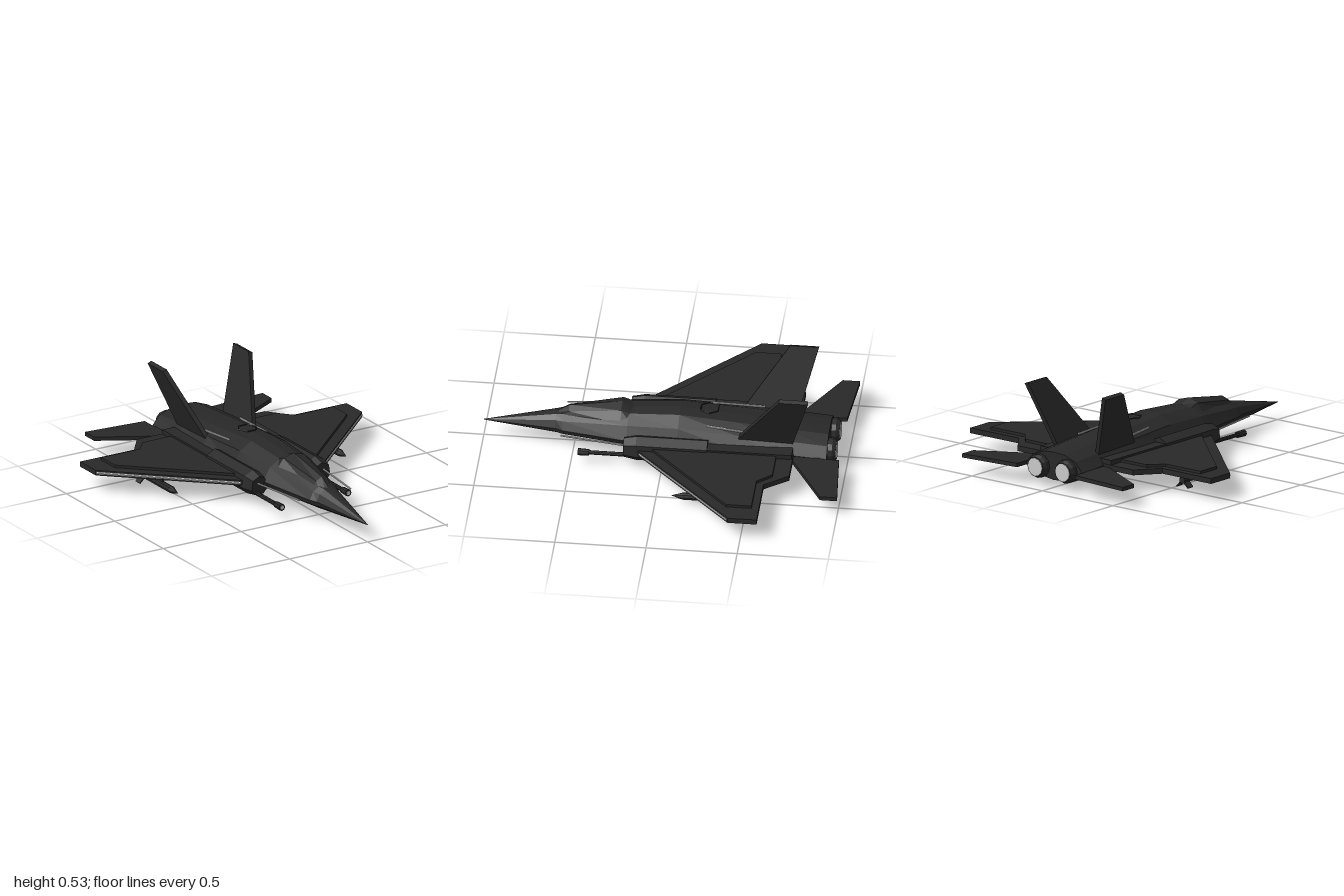
import * as THREE from 'three';

const mat = (name, color) => {
  const m = new THREE.MeshStandardMaterial({ color, flatShading: true });
  m.name = name;
  return m;
};

// Skin closed rings of [x, y, z], ordered nose to tail, clockwise seen from the front
function loft(rings) {
  const pos = [];
  const tri = (a, b, c) => pos.push(...a, ...b, ...c);
  const n = rings[0].length;
  for (let i = 0; i < rings.length - 1; i++) {
    for (let j = 0; j < n; j++) {
      const k = (j + 1) % n, p = rings[i], q = rings[i + 1];
      tri(p[j], p[k], q[k]);
      tri(p[j], q[k], q[j]);
    }
  }
  const first = rings[0], last = rings[rings.length - 1];
  for (let j = 1; j < n - 1; j++) {
    tri(last[0], last[j], last[j + 1]);
    tri(first[0], first[j + 1], first[j]);
  }
  const g = new THREE.BufferGeometry();
  g.setAttribute('position', new THREE.Float32BufferAttribute(pos, 3));
  g.computeVertexNormals();
  return g;
}

const shapeOf = (pts) => new THREE.Shape(pts.map(([x, y]) => new THREE.Vector2(x, y)));
const extrude = (pts, depth) => new THREE.ExtrudeGeometry(shapeOf(pts), { depth, bevelEnabled: false });

// Horizontal slab from an [x, z] outline
const slab = (pts, s, y, h) =>
  extrude(pts.map(([x, z]) => [x * s, -z]), h).rotateX(-Math.PI / 2).translate(0, y, 0);

// Cylinder along z, front radius first
const rod = (rFront, rBack, zFront, zBack, x, y, sides = 10) =>
  new THREE.CylinderGeometry(rFront, rBack, zFront - zBack, sides)
    .rotateX(Math.PI / 2).translate(x, y, (zFront + zBack) / 2);

// Thin round bar between two points
function bar(a, b, r) {
  const A = new THREE.Vector3(...a), B = new THREE.Vector3(...b);
  const o = new THREE.Object3D();
  o.position.copy(A).add(B).multiplyScalar(0.5);
  o.lookAt(B);
  o.updateMatrix();
  return new THREE.CylinderGeometry(r, r, A.distanceTo(B), 8)
    .rotateX(Math.PI / 2).applyMatrix4(o.matrix);
}

export function createModel() {
  const model = new THREE.Group();
  model.name = 'fighterJet';
  const skin = mat('charcoal skin', 0x282828);
  const grey = mat('light grey', 0xcacaca);
  const add = (name, geo, material, parent = model) => {
    const m = new THREE.Mesh(geo, material);
    m.name = name;
    parent.add(m);
  };

  // Faceted fuselage: z, half width, top, side height, bottom
  const stations = [
    [1.0, 0.002, 0.102, 0.1, 0.098],
    [0.6, 0.077, 0.188, 0.12, 0.056],
    [0.56, 0.097, 0.195, 0.122, 0.055],
    [0.2, 0.172, 0.248, 0.13, 0.045],
    [-0.08, 0.192, 0.266, 0.13, 0.028],
    [-0.4, 0.2, 0.24, 0.13, 0.02],
    [-0.65, 0.2, 0.22, 0.125, 0.025],
    [-0.9, 0.2, 0.198, 0.11, 0.04],
  ];
  add('fuselage', loft(stations.map(([z, w, top, mid, bot]) => {
    const half = [
      [0.38 * w, top - 0.06 * (top - mid)],
      [0.76 * w, mid + 0.62 * (top - mid)],
      [w, mid],
      [0.9 * w, mid - 0.4 * (mid - bot)],
      [0.45 * w, bot + 0.2 * (mid - bot)],
    ];
    const left = half.map(([x, y]) => [x, y, z]);
    const right = half.map(([x, y]) => [-x, y, z]).reverse();
    return [[0, top, z], ...left, [0, bot, z], ...right];
  })), skin);

  // Canopy with a central ridge, blending into the shoulders: z, half width, top, base
  const canopy = [
    [0.6, 0.04, 0.186, 0.15],
    [0.53, 0.062, 0.23, 0.155],
    [0.24, 0.11, 0.277, 0.2],
    [0.18, 0.11, 0.25, 0.2],
  ];
  add('canopy', loft(canopy.map(([z, w, top, base]) => {
    const shoulder = top - 0.25 * (top - base);
    return [[0, top, z], [0.6 * w, shoulder, z], [w, base, z],
      [-w, base, z], [-0.6 * w, shoulder, z]];
  })), skin);

  // Thin hexagonal ring above the spine
  add('spineRing', new THREE.TorusGeometry(0.055, 0.004, 4, 6).rotateX(Math.PI / 2)
    .translate(0, 0.268, -0.24), skin);

  for (const s of [1, -1]) {
    const side = new THREE.Group();
    side.name = s > 0 ? 'leftSide' : 'rightSide';
    model.add(side);
    const put = (name, geo, material) => add(name, geo, material, side);

    // Wing, raised panel and pale leading edge
    put('wing', slab([[0.15, 0.23], [0.855, -0.43], [0.855, -0.59], [0.51, -0.59],
      [0.41, -0.72], [0.15, -0.72]], s, 0.1, 0.03), skin);
    put('wingPanel', slab([[0.18, 0.12], [0.745, -0.41], [0.745, -0.55], [0.5, -0.55],
      [0.43, -0.63], [0.18, -0.63]], s, 0.13, 0.015), skin);
    put('leadingEdge', bar([s * 0.265, 0.115, 0.118], [s * 0.848, 0.115, -0.428], 0.008), grey);

    // Tailplane
    put('tailplane', slab([[0.15, -0.67], [0.57, -0.905], [0.57, -1.0], [0.205, -0.97],
      [0.205, -0.87], [0.15, -0.87]], s, 0.093, 0.022), skin);

    // Canted fin
    put('fin', extrude([[-0.4, -0.03], [-0.71, -0.03], [-0.808, 0.346], [-0.65, 0.346]], 0.026)
      .translate(0, 0, -0.013).rotateY(-Math.PI / 2).rotateZ(-s * 0.354)
      .translate(s * 0.155, 0.2, 0), skin);

    // Intake trunk with a tapered lip, and the fairing behind it
    const trunk = [[0.13, 0.1], [0.16, 0.165], [0.2, 0.185], [0.255, 0.158], [0.265, 0.09],
      [0.235, 0.055], [0.17, 0.055]];
    const section = (z, k) => {
      const ring = trunk.map(([x, y]) => [s * (0.2 + (x - 0.2) * k), 0.11 + (y - 0.11) * k, z]);
      return s > 0 ? ring : ring.reverse();
    };
    put('intake', loft([section(0.21, 0.8), section(0.14, 1), section(-0.25, 1)]), skin);
    put('rearFairing', new THREE.BoxGeometry(0.1, 0.075, 0.47)
      .translate(s * 0.2, 0.118, -0.48), skin);

    // Engine nozzle
    put('nozzle', rod(0.066, 0.066, -0.8, -0.925, s * 0.097, 0.108, 12), skin);
    put('nozzleRim', rod(0.066, 0.055, -0.925, -0.945, s * 0.097, 0.108, 12), skin);
    put('exhaust', rod(0.05, 0.05, -0.94, -0.948, s * 0.097, 0.108, 12), grey);

    // Cannon
    put('cannonBarrel', rod(0.012, 0.012, 0.42, 0.15, s * 0.213, 0.07, 8), skin);
    put('cannonMuzzle', rod(0.02, 0.018, 0.46, 0.4, s * 0.213, 0.07, 8), skin);
    put('cannonBore', rod(0.012, 0.012, 0.462, 0.455, s * 0.213, 0.07, 8), grey);

    // Probe and spine seam
    put('probe', bar([s * 0.165, 0.136, 0.56], [s * 0.213, 0.128, 0.19], 0.005), grey);
    put('spineSeam', bar([s * 0.117, 0.224, -0.235], [s * 0.136, 0.205, -0.53], 0.006), grey);

    // Wing missile on its pylon, with crossed tail fins
    const mx = s * 0.54, my = 0.043;
    put('missileBody', rod(0.02, 0.02, -0.15, -0.46, mx, my, 8), skin);
    put('missileNose', rod(0.001, 0.02, -0.09, -0.15, mx, my, 8), skin);
    put('missilePylon', new THREE.BoxGeometry(0.01, 0.06, 0.16).translate(mx, 0.075, -0.32), skin);
    for (const a of [1, -1]) {
      put('missileFin', new THREE.BoxGeometry(0.115, 0.006, 0.045).rotateZ(a * Math.PI / 4)
        .translate(mx, my, -0.437), skin);
    }
  }
  return model;
}
